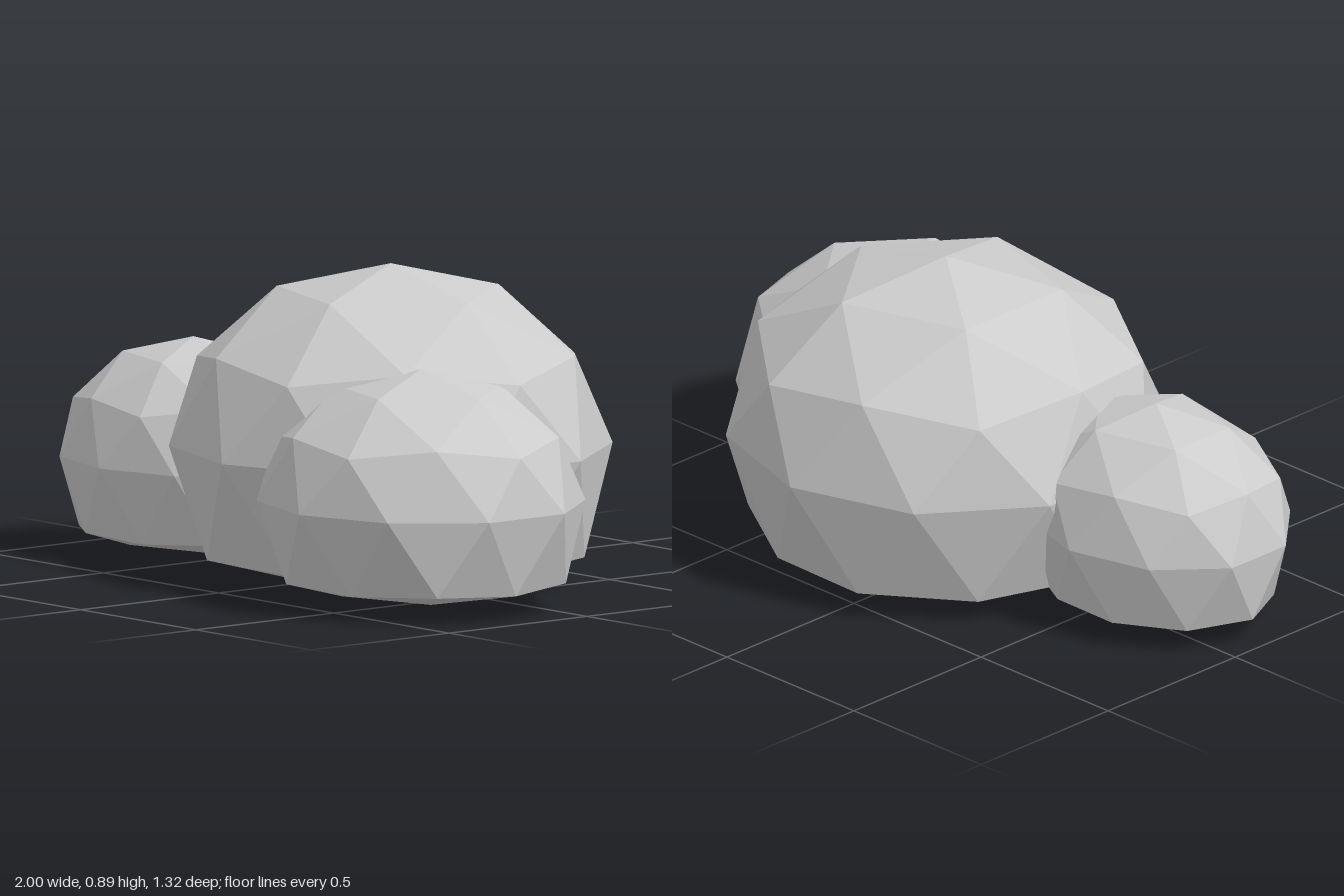
import * as THREE from 'three';

const material = new THREE.MeshStandardMaterial({ color: 0xcccccc, flatShading: true });

// Low-poly puff: an icosphere with a vertex at the top and its underside pressed flat
function puffGeometry() {
  const geometry = new THREE.IcosahedronGeometry(1, 1);
  geometry.rotateZ(-Math.atan(2 / (1 + Math.sqrt(5))));
  const pos = geometry.attributes.position;
  for (let i = 0; i < pos.count; i++) {
    const y = pos.getY(i);
    if (y < -0.3) pos.setY(i, -0.46 + 0.285 * y);
  }
  geometry.computeVertexNormals();
  return geometry;
}

function addPuff(group, name, center, radii) {
  const geometry = puffGeometry();
  geometry.scale(...radii);
  geometry.computeVertexNormals();
  const mesh = new THREE.Mesh(geometry, material);
  mesh.name = name;
  mesh.position.set(...center);
  group.add(mesh);
}

export function createModel() {
  const cloud = new THREE.Group();
  cloud.name = 'cloud';
  // Large middle puff with a smaller one on each side
  addPuff(cloud, 'middlePuff', [0.092, 0.38, -0.047], [0.63, 0.508, 0.612]);
  addPuff(cloud, 'rightPuff', [-0.597, 0.278, 0.093], [0.424, 0.34, 0.343]);
  addPuff(cloud, 'leftPuff', [0.54, 0.297, 0.217], [0.484, 0.368, 0.443]);
  return cloud;
}
